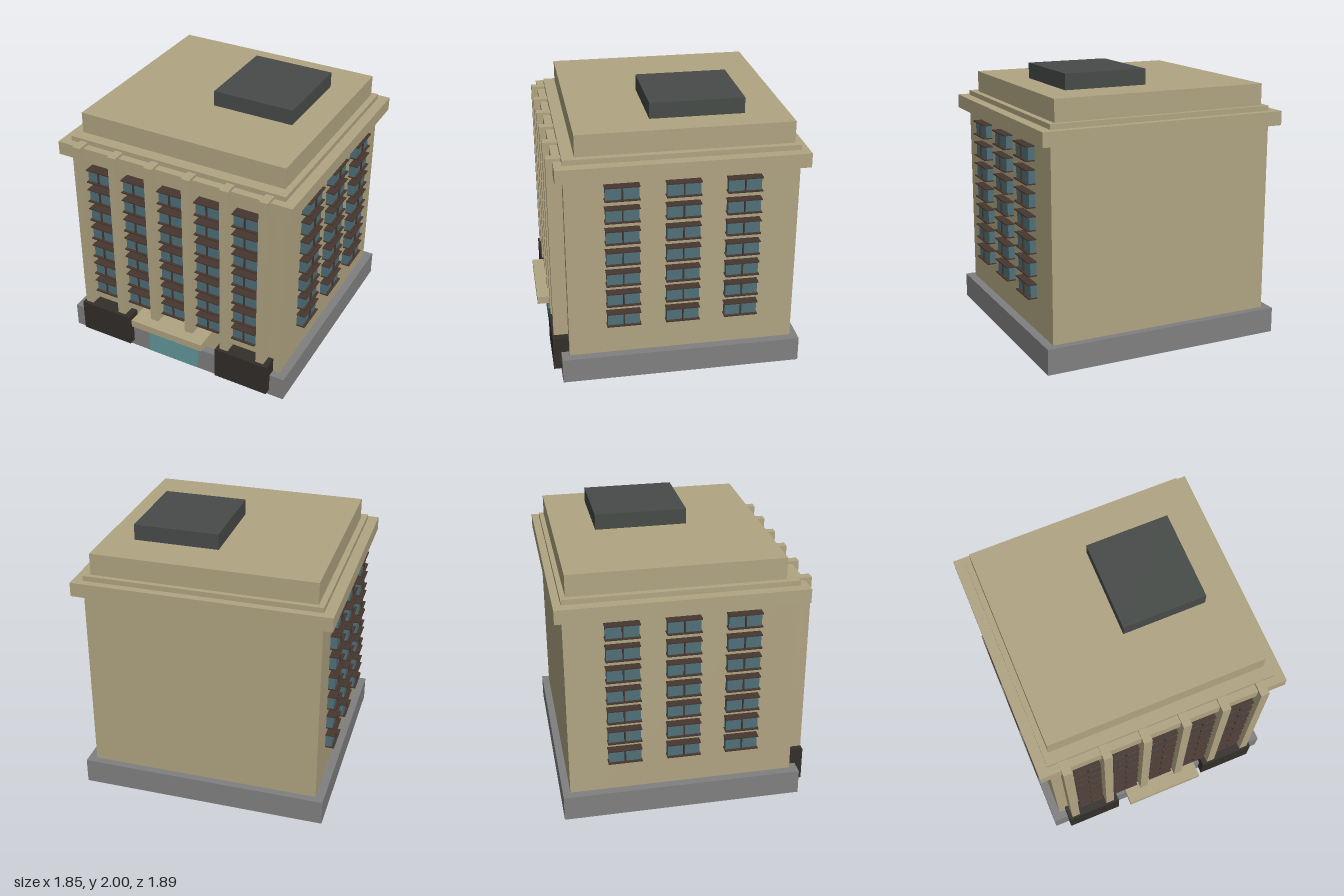
import * as THREE from 'three';

const mat = (color) => new THREE.MeshStandardMaterial({ color });

export function createModel() {
  const stone = mat(0xb0a482), concrete = mat(0x808080), roofDark = mat(0x474b48);
  const glass = mat(0x4f7078), doorGlass = mat(0x63999c), dark = mat(0x332e2a), trim = mat(0x46362f);
  const model = new THREE.Group();
  model.name = 'officeBuilding';

  // Box given by its min and max on each axis
  const box = (name, material, [x0, x1], [y0, y1], [z0, z1], parent = model) => {
    const mesh = new THREE.Mesh(new THREE.BoxGeometry(x1 - x0, y1 - y0, z1 - z0), material);
    mesh.position.set((x0 + x1) / 2, (y0 + y1) / 2, (z0 + z1) / 2);
    mesh.name = name;
    parent.add(mesh);
    return mesh;
  };

  // Main masses, from the ground up
  box('plinth', concrete, [-0.913, 0.913], [0.002, 0.19], [-0.945, 0.818]);
  box('mainBody', stone, [-0.85, 0.85], [0, 1.727], [-0.89, 0.76]);
  box('cornice', stone, [-0.926, 0.926], [1.587, 1.69], [-0.945, 0.818]);
  box('atticStorey', stone, [-0.807, 0.805], [1.72, 1.885], [-0.855, 0.673]);
  box('roofHousing', roofDark, [-0.028, 0.592], [1.88, 2], [-0.545, 0.13]);

  // Front pilasters running past the cornice
  for (const x of [-0.74, -0.444, -0.148, 0.148, 0.444, 0.737]) {
    box('pilaster', stone, [x - 0.032, x + 0.032], [0.322, 1.71], [0.75, 0.865]);
  }

  // Entrance and the shopfronts beside it
  box('entranceDoor', doorGlass, [-0.203, 0.203], [0.05, 0.325], [0.75, 0.865]);
  box('entranceCanopy', stone, [-0.3, 0.3], [0.312, 0.37], [0.75, 0.95]);
  for (const s of [-1, 1]) {
    box('shopfront', dark, [s * 0.587 - 0.213, s * 0.587 + 0.213], [0.05, 0.306], [0.75, 0.875]);
  }

  // Projecting window facing +z: glass bay, centre mullion, slabs above and below
  const makeWindow = (w, depth) => {
    const g = new THREE.Group();
    g.name = 'window';
    box('windowGlass', glass, [-w / 2 + 0.006, w / 2 - 0.006], [-0.047, 0.047], [-0.01, depth - 0.02], g);
    box('mullion', trim, [-0.005, 0.005], [-0.047, 0.047], [0, depth - 0.008], g);
    for (const s of [-1, 1]) {
      box('windowSlab', trim, [-w / 2, w / 2], [s * 0.05 - 0.004, s * 0.05 + 0.004], [-0.01, depth], g);
    }
    return g;
  };

  for (let row = 0; row < 7; row++) {
    const y = 0.492 + row * 0.1648;
    // Front windows between the pilasters
    for (let col = -2; col <= 2; col++) {
      const win = makeWindow(0.19, 0.085);
      win.position.set(col * 0.2945, y, 0.76);
      model.add(win);
    }
    // Side windows, mirrored left and right
    for (const s of [-1, 1]) {
      for (const z of [0.365, -0.062, -0.489]) {
        const win = makeWindow(0.245, 0.067);
        win.position.set(s * 0.85, y, z);
        win.rotation.y = s * Math.PI / 2;
        model.add(win);
      }
    }
  }
  return model;
}
